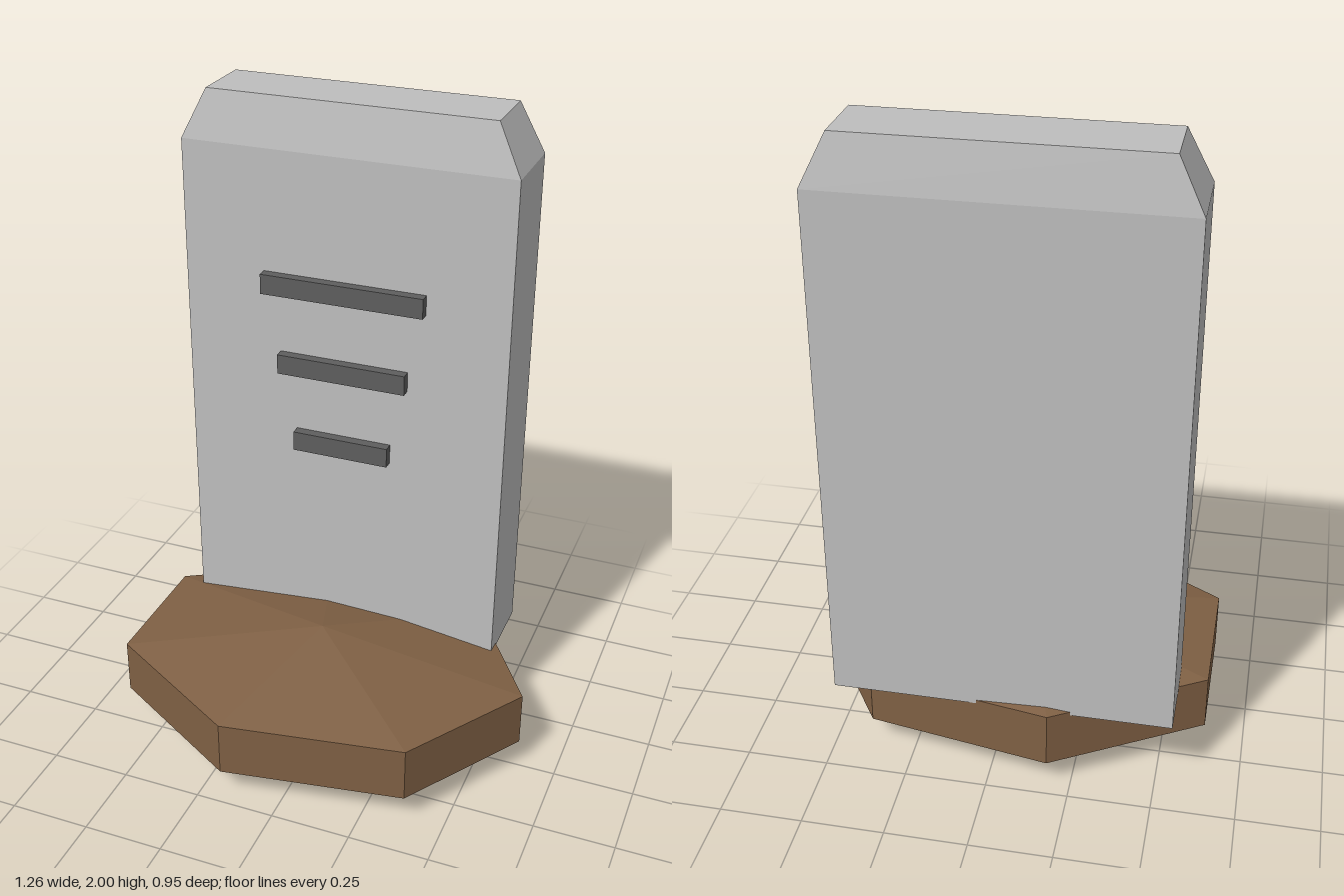
import * as THREE from 'three';

export function createModel() {
  const group = new THREE.Group();
  const mat = (name, color) => {
    const m = new THREE.MeshStandardMaterial({ color, flatShading: true });
    m.name = name;
    return m;
  };
  const stone = mat('stone grey', 0xbebebe);
  const earth = mat('earth brown', 0x7f6044);
  const engraving = mat('dark grey', 0x5e5e5e);

  const add = (name, geometry, material, x, y, z) => {
    const mesh = new THREE.Mesh(geometry, material);
    mesh.name = name;
    mesh.position.set(x, y, z);
    group.add(mesh);
    return mesh;
  };

  // Seven-sided mound, pointed above and below, squashed front to back
  const profile = [[0, 0], [1, 0.095], [1, 0.272], [0, 0.362]].map(([r, y]) => new THREE.Vector2(r, y));
  const moundGeo = new THREE.LatheGeometry(profile, 7, Math.PI / 2);
  moundGeo.scale(0.665, 1, 0.486);
  add('earthMound', moundGeo, earth, -0.033, 0, 0);

  // Upright slab: the upper of two height segments narrows to a bevelled top
  const slabGeo = new THREE.BoxGeometry(1.024, 1.74, 0.254, 1, 2, 1);
  const p = slabGeo.attributes.position;
  for (let i = 0; i < p.count; i++) {
    const y = p.getY(i);
    if (y > 0.5) p.setXYZ(i, p.getX(i) * 0.855, y, p.getZ(i) * 0.81);
    else if (y > -0.5) p.setY(i, 0.72);
  }
  slabGeo.computeVertexNormals();
  add('stoneSlab', slabGeo, stone, -0.035, 1.13, -0.31);

  // Three raised bars on the front, shorter towards the bottom
  [[1.441, 0.512], [1.185, 0.41], [0.928, 0.308]].forEach(([y, width], i) => {
    add(`inscriptionBar${i + 1}`, new THREE.BoxGeometry(width, 0.063, 0.05), engraving, -0.036, y, -0.177);
  });

  return group;
}
